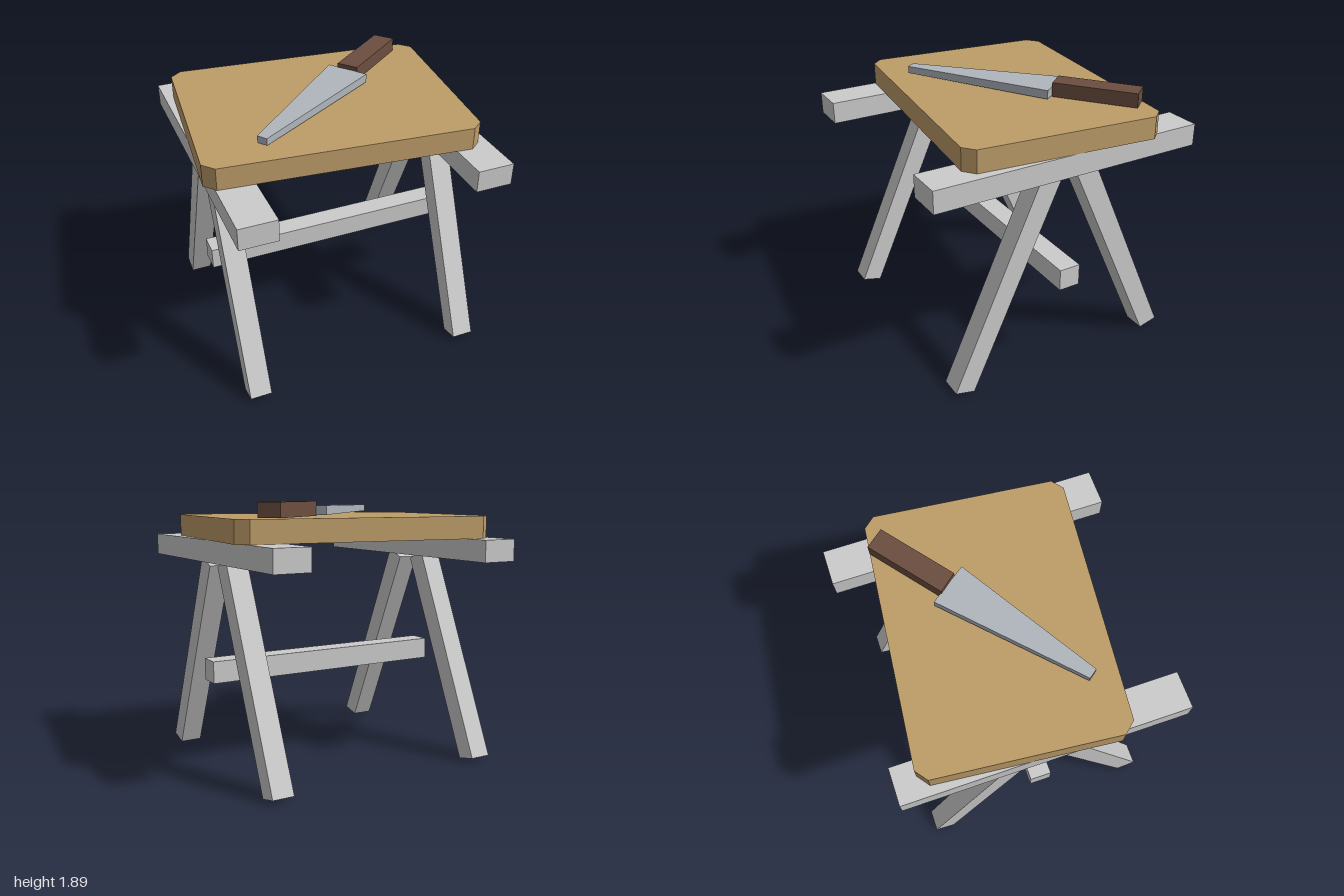
import * as THREE from 'three';

const material = (color) => new THREE.MeshStandardMaterial({ color, flatShading: true });
const grey = material(0xcccccc);
const wood = material(0xbe9d69);
const darkWood = material(0x6b4e3f);
const steel = material(0xb0b6bc);

const extrude = (points, depth) => new THREE.ExtrudeGeometry(
  new THREE.Shape(points.map(([a, b]) => new THREE.Vector2(a, b))),
  { depth, bevelEnabled: false });

// Upright prism from an outline in [x, z]
function slab(points, y0, y1) {
  return extrude(points.map(([x, z]) => [x, -z]), y1 - y0).rotateX(-Math.PI / 2).translate(0, y0, 0);
}

// Sideways prism from a profile in [z, y]
function sidePrism(points, x0, x1) {
  return extrude(points.map(([z, y]) => [-z, y]), x1 - x0).rotateY(Math.PI / 2).translate(x0, 0, 0);
}

export function createModel() {
  const group = new THREE.Group();
  const add = (name, geometry, mat) => {
    const mesh = new THREE.Mesh(geometry, mat);
    mesh.name = name;
    group.add(mesh);
    return mesh;
  };

  // Two trestles: a rail on a splayed pair of legs
  const legProfile = [[0.86, 0.035], [0.72, 0], [0.065, 1.44], [0.204, 1.5]];
  for (const side of [1, -1]) {
    const label = side > 0 ? 'left' : 'right';
    add(label + 'Rail', new THREE.BoxGeometry(0.26, 0.155, 1.99), grey)
      .position.set(side * 0.81, 1.5475, 0);
    for (const end of [1, -1]) {
      add(label + (end > 0 ? 'FrontLeg' : 'BackLeg'),
        sidePrism(legProfile.map(([z, y]) => [z * end, y]), side * 0.8125 - 0.0775, side * 0.8125 + 0.0775), grey);
    }
  }

  // Crossbeam between the trestles, running past the left legs
  add('crossbeam', new THREE.BoxGeometry(1.83, 0.155, 0.155), grey).position.set(0.025, 0.7125, 0);

  // Skewed tabletop with clipped corners
  add('tabletop', slab([
    [-0.79, -0.84], [0.93, -0.67], [1.0, -0.59], [0.87, 0.665],
    [0.79, 0.73], [-0.93, 0.56], [-1.0, 0.48], [-0.875, -0.775],
  ], 1.625, 1.782), wood);

  // Knife: tapered blade, slightly thicker at the handle
  const blade = slab([[0.22, -0.39], [0.405, -0.14], [-0.555, 0.445], [-0.6, 0.385]], -0.5, 0.5);
  const pos = blade.attributes.position;
  for (let i = 0; i < pos.count; i++) {
    const thickness = pos.getX(i) > 0 ? 0.062 : 0.05;
    pos.setY(i, 1.824 + pos.getY(i) * thickness);
  }
  blade.computeVertexNormals();
  add('knifeBlade', blade, steel);
  add('knifeHandle', slab([[0.26, -0.325], [0.73, -0.69], [0.83, -0.57], [0.36, -0.205]], 1.786, 1.886), darkWood);

  return group;
}
